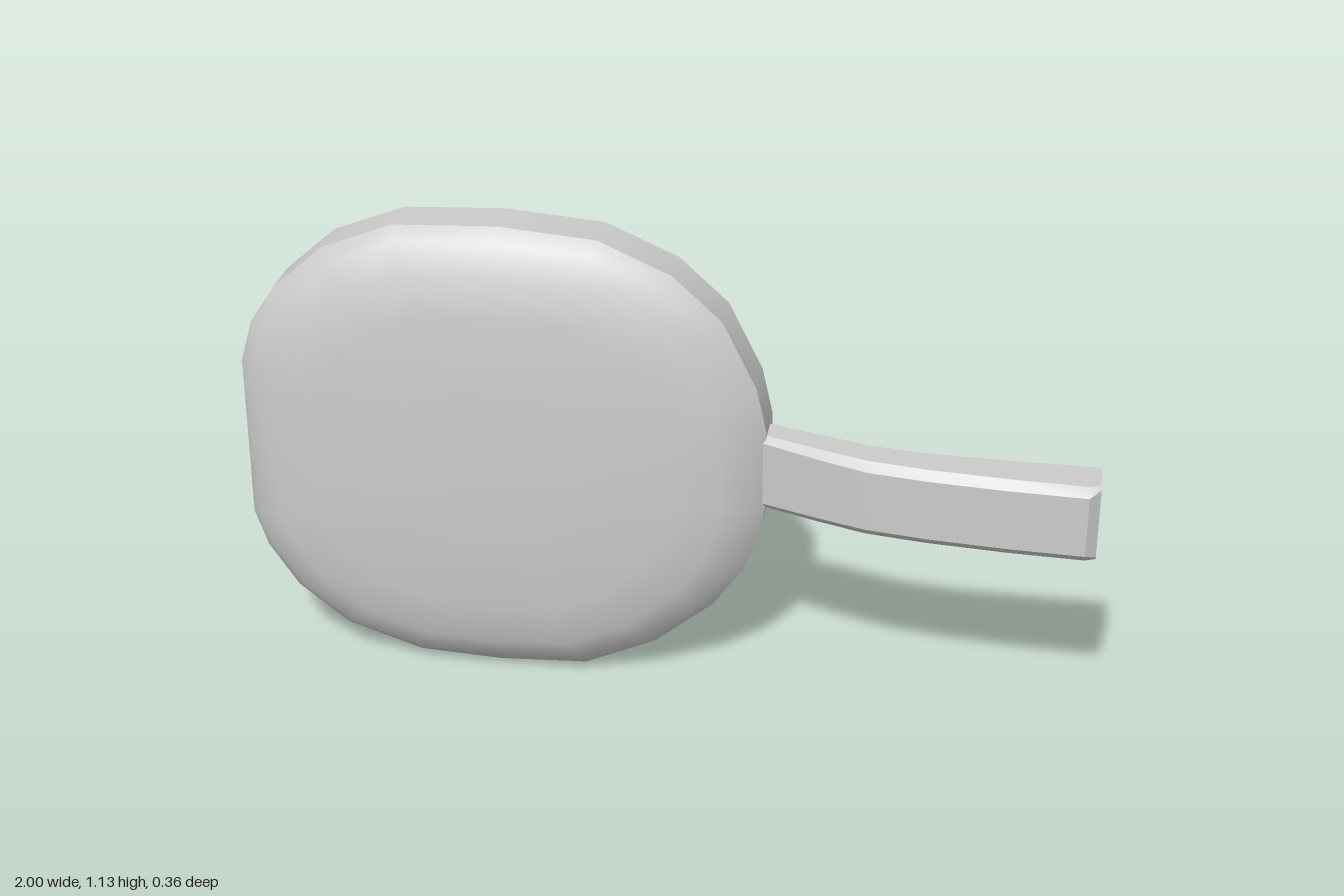
import * as THREE from 'three';
import { toCreasedNormals } from 'three/addons/utils/BufferGeometryUtils.js';

const material = new THREE.MeshStandardMaterial({ color: 0xcccccc });

// Skin a row of matching closed cross-sections and cap both ends
function loft(sections, crease) {
  const n = sections[0].length;
  const positions = sections.flat(2);
  const index = [];
  for (let i = 0; i < sections.length - 1; i++) {
    for (let j = 0; j < n; j++) {
      const k = (j + 1) % n;
      const a = i * n + j, b = i * n + k, c = a + n, d = b + n;
      index.push(a, b, d, a, d, c);
    }
  }
  const last = (sections.length - 1) * n;
  for (const [start, flip] of [[0, true], [last, false]]) {
    const center = positions.length / 3;
    for (let axis = 0; axis < 3; axis++) {
      let sum = 0;
      for (let j = 0; j < n; j++) sum += positions[(start + j) * 3 + axis];
      positions.push(sum / n);
    }
    for (let j = 0; j < n; j++) {
      const a = start + j, b = start + (j + 1) % n;
      index.push(center, flip ? b : a, flip ? a : b);
    }
  }
  const geometry = new THREE.BufferGeometry();
  geometry.setAttribute('position', new THREE.Float32BufferAttribute(positions, 3));
  geometry.setIndex(index);
  return toCreasedNormals(geometry, crease);
}

// Rounded-square head: one outline, drawn inward towards the front and back
function headGeometry() {
  const cx = -0.38, cy = 0.565;
  const outline = [
    [0.24, 0.47], [0.24, 0.66], [0.215, 0.77], [0.135, 0.93], [0.02, 1.035], [-0.15, 1.11],
    [-0.38, 1.13], [-0.62, 1.12], [-0.79, 1.055], [-0.91, 0.95], [-0.97, 0.86], [-1, 0.76],
    [-1, 0.36], [-0.97, 0.27], [-0.9, 0.165], [-0.78, 0.07], [-0.6, 0.01], [-0.4, 0],
    [-0.19, 0.01], [-0.02, 0.085], [0.12, 0.2], [0.19, 0.3], [0.23, 0.41],
  ];
  // [z, inset from the rim], back to front
  const profile = [
    [-0.18, 0.19], [-0.177, 0.14], [-0.16, 0.08], [-0.13, 0.035], [-0.095, 0],
    [0.02, 0], [0.055, 0.03], [0.09, 0.095], [0.105, 0.2], [0.118, 0.36], [0.12, 0.42],
  ];
  return loft(profile.map(([z, inset]) => {
    const s = 1 - inset / 0.6;
    return outline.map(([x, y]) => [cx + (x - cx) * s, cy + (y - cy) * s, z]);
  }), 0.62);
}

// Curved bar handle with chamfered front edges
function handleGeometry() {
  const y0 = 0.467, y1 = 0.652;
  // [x, back z, front z, chamfer]
  const stations = [
    [0.18, -0.07, 0.005, 0.012], [0.24, -0.05, 0.03, 0.015], [0.36, -0.01, 0.082, 0.018],
    [0.48, 0.03, 0.128, 0.02], [0.62, 0.05, 0.152, 0.02], [0.8, 0.057, 0.17, 0.02],
    [0.975, 0.06, 0.18, 0.02], [1, 0.06, 0.157, 0.008],
  ];
  return loft(stations.map(([x, back, front, c]) => [
    [x, y0, back], [x, y1, back], [x, y1, front - c],
    [x, y1 - c, front], [x, y0 + c, front], [x, y0, front - c],
  ]), 0.5);
}

export function createModel() {
  const model = new THREE.Group();
  model.name = 'paddle';
  const parts = { head: headGeometry(), handle: handleGeometry() };
  for (const [name, geometry] of Object.entries(parts)) {
    const mesh = new THREE.Mesh(geometry, material);
    mesh.name = name;
    model.add(mesh);
  }
  return model;
}
